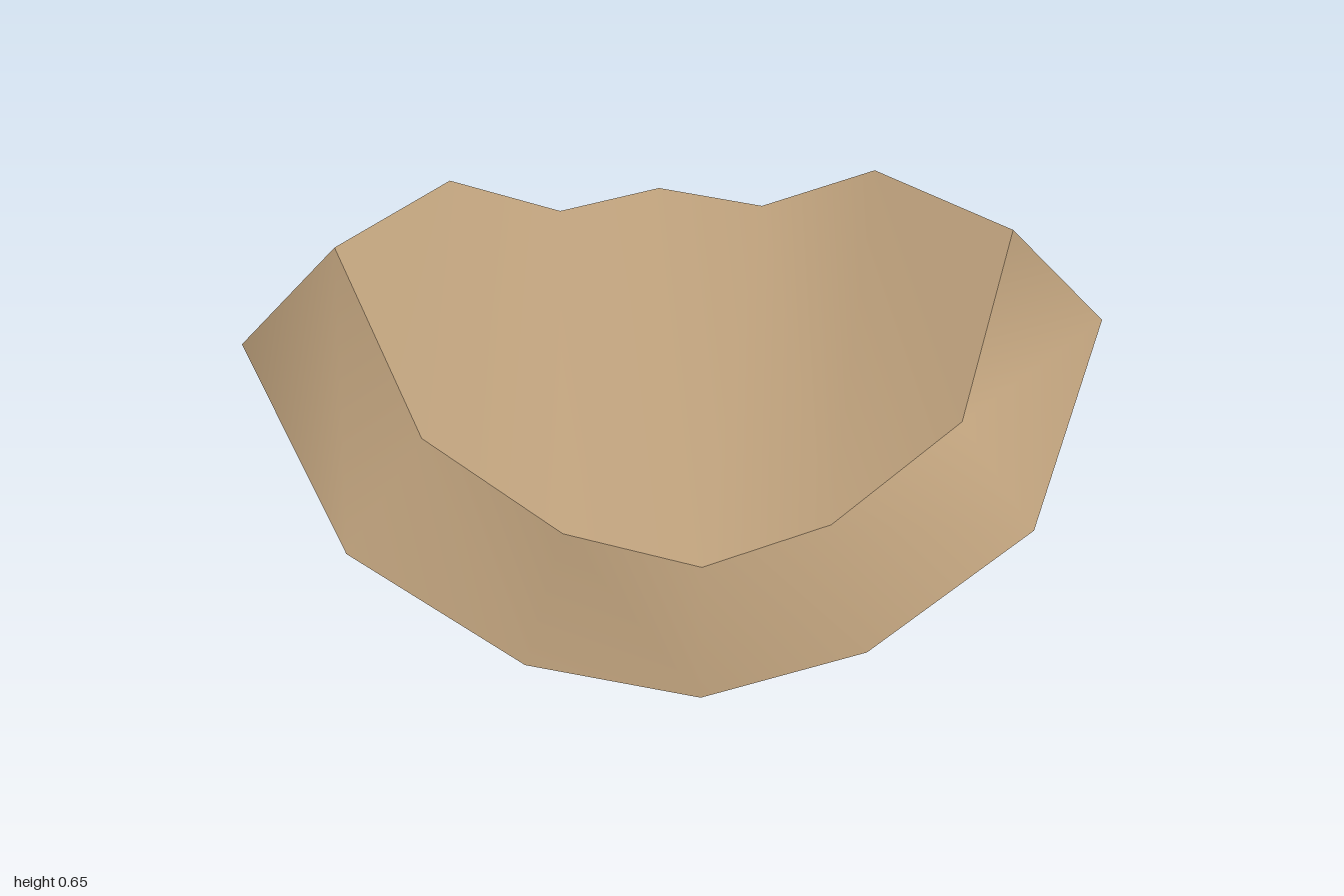
import * as THREE from 'three';

// Half of the bent profile: distance across the trough, height, half length along it
const LOWER = [[0, 0, 0.907], [0.38, 0, 0.777], [0.765, 0.22, 0.642], [1.063, 0.39, 0]];
const UPPER = [[0, 0.35, 0.907], [0.286, 0.35, 0.773], [0.58, 0.515, 0.64], [0.815, 0.648, 0]];

// Directions across and along the trough, on the ground
const U = [0.747, 0.664];
const V = [0.664, -0.747];

const place = (u, y, v) => [u * U[0] + v * V[0], y, u * U[1] + v * V[1]];

// Full row list from one end of the profile to the other
function mirrorProfile(half) {
  const left = half.slice(1).reverse().map(([u, y, v]) => [-u, y, v]);
  return [...left, ...half];
}

function buildGeometry(points, index) {
  const geometry = new THREE.BufferGeometry();
  geometry.setAttribute('position', new THREE.Float32BufferAttribute(points.flat(), 3));
  geometry.setIndex(index);
  geometry.computeVertexNormals();
  return geometry;
}

// Curved eight-sided sheet, built as strips across the trough
function sheet(half, facesUp) {
  const points = [];
  const rows = mirrorProfile(half).map(([u, y, v]) => {
    const a = points.push(place(u, y, -v)) - 1;
    const b = v > 0 ? points.push(place(u, y, v)) - 1 : a;
    return [a, b];
  });
  const index = [];
  const tri = (a, b, c) => {
    if (a === b || b === c || a === c) return;
    if (facesUp) index.push(a, b, c);
    else index.push(a, c, b);
  };
  for (let i = 0; i < rows.length - 1; i++) {
    const [a, b] = rows[i];
    const [c, d] = rows[i + 1];
    tri(a, c, d);
    tri(a, d, b);
  }
  return buildGeometry(points, index);
}

// Closed outline of a sheet, counterclockwise from above
function outline(half) {
  const rows = mirrorProfile(half);
  const near = rows.map(([u, y, v]) => place(u, y, -v));
  const far = rows.slice(1, -1).reverse().map(([u, y, v]) => place(u, y, v));
  return [...near, ...far];
}

// Wall joining the two outlines
function rimWall() {
  const low = outline(LOWER);
  const high = outline(UPPER);
  const n = low.length;
  const index = [];
  for (let k = 0; k < n; k++) {
    const next = (k + 1) % n;
    index.push(k, next, n + k, next, n + next, n + k);
  }
  return buildGeometry([...low, ...high], index);
}

export function createModel() {
  const model = new THREE.Group();
  model.name = 'curvedSlab';

  const tan = new THREE.MeshStandardMaterial({ color: 0xc4a680 });
  tan.name = 'tan';

  const add = (name, geometry) => {
    const mesh = new THREE.Mesh(geometry, tan);
    mesh.name = name;
    model.add(mesh);
  };

  add('topSurface', sheet(UPPER, true));
  add('underside', sheet(LOWER, false));
  add('rim', rimWall());
  return model;
}
